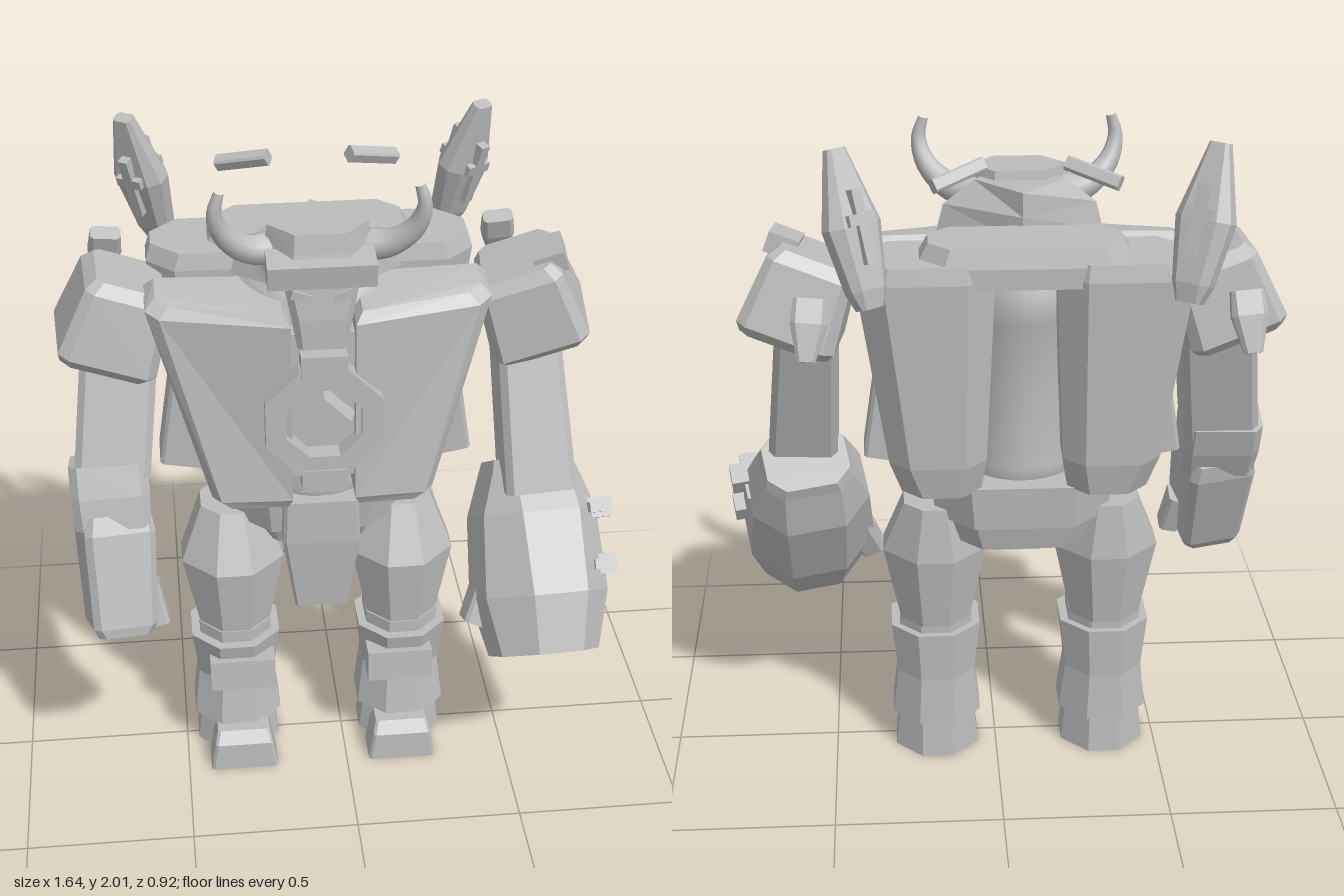
import * as THREE from 'three';

const stone = new THREE.MeshStandardMaterial({ color: 0xbcbcbc });
stone.name = 'stone grey';
const V = (x, y, z) => new THREE.Vector3(x, y, z);

// Faceted solid skinned through rings of [x, y, z] points
function loft(rings) {
  const n = rings[0].length, pos = rings.flat(), tris = [];
  rings.slice(1).forEach((_, i) => {
    for (let j = 0; j < n; j++) {
      const a = i * n + j, b = i * n + (j + 1) % n;
      tris.push([a, a + n, b + n], [a, b + n, b]);
    }
  });
  const top = (rings.length - 1) * n;
  for (let j = 1; j < n - 1; j++) tris.push([0, j, j + 1], [top, top + j + 1, top + j]);
  const pts = pos.map(p => V(...p));
  const mid = pts.reduce((s, p) => s.add(p), V(0, 0, 0)).divideScalar(pts.length);
  let vol = 0;
  for (const [a, b, c] of tris) {
    vol += pts[a].clone().sub(mid).dot(pts[b].clone().sub(mid).cross(pts[c].clone().sub(mid)));
  }
  const idx = tris.flatMap(([a, b, c]) => (vol < 0 ? [a, c, b] : [a, b, c]));
  const g = new THREE.BufferGeometry();
  g.setAttribute('position', new THREE.Float32BufferAttribute(pos.flat(), 3));
  g.setIndex(idx);
  const flat = g.toNonIndexed();
  flat.computeVertexNormals();
  return flat;
}

// Rectangle with cut corners: half width w, half depth d, cut c, centre x, z
function octagon(y, w, d, c, x = 0, z = 0) {
  return [[w, -d + c], [w, d - c], [w - c, d], [c - w, d], [-w, d - c], [-w, c - d], [c - w, -d], [w - c, -d]]
    .map(([px, pz]) => [x + px, y, z + pz]);
}

export function createModel() {
  const model = new THREE.Group();
  model.name = 'armouredGiant';
  const body = new THREE.Group();
  body.name = 'body';
  body.position.x = -0.075;
  model.add(body);

  const add = (name, geo, parent = body) => {
    const m = new THREE.Mesh(geo, stone);
    m.name = name;
    parent.add(m);
    return m;
  };
  const box = (name, x, y, z, w, h, d, parent = body) => {
    const m = add(name, new THREE.BoxGeometry(w, h, d), parent);
    m.position.set(x, y, z);
    return m;
  };
  // Limb between two points; sections are [t, half width, half depth, cut]
  const limb = (name, low, high, sections, parent = body) => {
    const axis = high.clone().sub(low), len = axis.length();
    const m = add(name, loft(sections.map(([t, w, d, c]) => octagon(t * len, w, d, c))), parent);
    m.position.copy(low);
    m.quaternion.setFromUnitVectors(V(0, 1, 0), axis.normalize());
    return m;
  };

  // Core, belt and hips
  const core = add('torsoCore', new THREE.LatheGeometry(
    [[0, 0.88], [0.17, 0.88], [0.16, 1.0], [0.15, 1.2], [0.17, 1.45], [0.23, 1.66], [0, 1.66]].map(p => new THREE.Vector2(...p)), 32));
  core.position.z = -0.02;
  add('belt', loft([octagon(0.83, 0.255, 0.17, 0.11, 0, -0.06), octagon(0.965, 0.275, 0.185, 0.12, 0, -0.055)]));
  add('hips', loft([octagon(0.75, 0.19, 0.12, 0.07, 0, -0.08), octagon(0.84, 0.23, 0.15, 0.09, 0, -0.07)]));
  add('frontGuard', loft([octagon(0.59, 0.08, 0.03, 0.008, 0, 0.13), octagon(0.83, 0.115, 0.04, 0.01, 0, 0.14),
    octagon(0.97, 0.11, 0.04, 0.01, 0, 0.14)]));
  box('breastbone', 0, 1.32, 0.12, 0.2, 0.46, 0.2);

  // Chest emblem: ring, diamond and two clasps
  const ngon = (r, n, a) => Array.from({ length: n }, (_, i) =>
    new THREE.Vector2(r * Math.cos(a + i * 2 * Math.PI / n), r * Math.sin(a + i * 2 * Math.PI / n)));
  const ringShape = new THREE.Shape(ngon(0.18, 8, Math.PI / 8));
  ringShape.holes.push(new THREE.Path(ngon(0.115, 8, Math.PI / 8)));
  add('emblemRing', new THREE.ExtrudeGeometry(ringShape, { depth: 0.09, bevelEnabled: false })).position.set(0, 1.295, 0.19);
  const gem = add('emblemDiamond', new THREE.CylinderGeometry(0.075, 0.1, 0.07, 4, 1).toNonIndexed());
  gem.geometry.computeVertexNormals();
  gem.rotation.x = Math.PI / 2;
  gem.position.set(0, 1.295, 0.235);
  for (const y of [1.11, 1.475]) box('emblemClasp', 0, y, 0.235, 0.13, 0.07, 0.1);

  // Head, helmet and face
  add('helmetBack', loft([[1.66, 0.24, -0.1], [1.74, 0.22, -0.105], [1.81, 0.13, -0.1]].map(([y, w, back]) =>
    [[-w, y, 0.04], [0, y, back], [w, y, 0.04], [w * 0.6, y, 0.12], [-w * 0.6, y, 0.12]])));
  const hex = (y, w, z0, z1) => {
    const m = (z0 + z1) / 2;
    return [[-w, y, m], [-w / 2, y, z0], [w / 2, y, z0], [w, y, m], [w / 2, y, z1], [-w / 2, y, z1]];
  };
  add('helmetTop', loft([hex(1.7, 0.16, 0.0, 0.22), hex(1.78, 0.15, 0.02, 0.2), hex(1.835, 0.14, 0.03, 0.19)]));
  add('face', loft([octagon(1.51, 0.07, 0.07, 0.015, 0, 0.17), octagon(1.6, 0.085, 0.09, 0.02, 0, 0.15), octagon(1.7, 0.105, 0.1, 0.02, 0, 0.13)]));
  box('brow', 0, 1.735, 0.19, 0.3, 0.07, 0.1).rotation.x = 0.15;

  // Upper back cap
  add('backCap', loft([octagon(1.6, 0.3, 0.11, 0.07, 0, -0.2), octagon(1.66, 0.3, 0.115, 0.07, 0, -0.195), octagon(1.715, 0.27, 0.1, 0.06, 0, -0.195)]));

  for (const s of [1, -1]) {
    const side = s > 0 ? 'left' : 'right';
    // Chest plate, tapering to the waist
    const plate = (y, o, zf, inset, tilt, turn) => [[0.09 + inset, y - tilt, zf - inset], [o * 0.92 - inset, y - tilt, zf - turn - inset],
      [o - inset, y - tilt * 0.6, zf - turn - 0.035 - inset], [o - inset, y, 0.01 + inset], [0.09 + inset, y, 0.03 + inset]]
      .map(([x, py, z]) => [x * s, py, z]);
    add(side + 'ChestPlate', loft([plate(1.0, 0.3, 0.25, 0.012, 0, 0.005), plate(1.03, 0.32, 0.255, 0, 0, 0.01),
      plate(1.62, 0.485, 0.26, 0, 0.03, 0.085), plate(1.65, 0.475, 0.255, 0.02, 0.03, 0.085)]));
    // Back slab and flank panel
    add(side + 'BackSlab', loft([octagon(0.96, 0.115, 0.095, 0.06, s * 0.24, -0.185), octagon(1.06, 0.14, 0.11, 0.06, s * 0.25, -0.19),
      octagon(1.62, 0.195, 0.13, 0.08, s * 0.28, -0.195), octagon(1.67, 0.185, 0.12, 0.08, s * 0.275, -0.195)]));
    limb(side + 'FlankPanel', V(s * 0.4, 1.02, -0.06), V(s * 0.3, 1.58, -0.06),
      [[0, 0.065, 0.076, 0.01], [1, 0.08, 0.085, 0.01]]);
    // Curved horn
    const curve = new THREE.CatmullRomCurve3([V(s * 0.12, 1.755, 0.09), V(s * 0.2, 1.77, 0.12), V(s * 0.265, 1.83, 0.15),
      V(s * 0.285, 1.9, 0.17), V(s * 0.27, 1.96, 0.17)]);
    const horn = new THREE.TubeGeometry(curve, 16, 1, 12);
    const hp = horn.attributes.position, q = new THREE.Vector3();
    for (let i = 0; i < hp.count; i++) {
      const t = Math.floor(i / 13) / 16, c = curve.getPointAt(t);
      q.fromBufferAttribute(hp, i).sub(c).multiplyScalar(0.05 - 0.036 * t).add(c);
      hp.setXYZ(i, q.x, q.y, q.z);
    }
    horn.computeVertexNormals();
    add(side + 'Horn', horn);
    box(side + 'Eye', s * 0.058, 1.672, 0.232, 0.06, 0.025, 0.02).rotation.z = s * 0.35;

    // Floating rod, spike and spike tail
    limb(side + 'FloatingRod', V(s * 0.255, 1.875, -0.235), V(s * 0.115, 1.915, -0.165), [[0, 0.02, 0.02, 0.006], [1, 0.02, 0.02, 0.006]]);
    const spike = limb(side + 'BackSpike', V(s * 0.43, 1.59, -0.4), V(s * 0.515, 2.0, -0.29),
      [[0, 0.035, 0.025, 0.008], [0.12, 0.055, 0.04, 0.02], [0.52, 0.082, 0.05, 0.03], [1, 0.028, 0.02, 0.008]]);
    spike.rotateY(s * 0.6);
    for (const f of [1, -1]) {
      box('spikeRib', 0, 0.22, f * 0.05, 0.03, 0.2, 0.03, spike);
      box('spikeCross', 0, 0.24, f * 0.05, 0.08, 0.03, 0.03, spike);
    }
    limb(side + 'SpikeTail', V(s * 0.605, 1.455, -0.44), V(s * 0.59, 1.61, -0.37), [[0, 0.025, 0.015, 0.008], [0.6, 0.05, 0.03, 0.015], [1, 0.045, 0.025, 0.01]]);

    // Leg
    const leg = new THREE.Group();
    leg.name = side + 'Leg';
    leg.position.x = s * 0.26;
    body.add(leg);
    add('foot', loft([octagon(0, 0.128, 0.13, 0.08, 0, -0.02), octagon(0.12, 0.115, 0.12, 0.07, 0, -0.02)]), leg);
    add('toe', loft([octagon(0, 0.105, 0.06, 0.008, -s * 0.01, 0.14), octagon(0.09, 0.09, 0.06, 0.008, -s * 0.01, 0.135),
      octagon(0.125, 0.08, 0.035, 0.008, -s * 0.01, 0.13)]), leg);
    add('shin', loft([octagon(0.12, 0.135, 0.14, 0.08, 0, -0.01), octagon(0.27, 0.118, 0.122, 0.07, 0, -0.02),
      octagon(0.43, 0.135, 0.145, 0.08, 0, -0.005)]), leg);
    box('shinPlate', -s * 0.015, 0.33, 0.115, 0.2, 0.1, 0.08, leg).rotation.x = -0.08;
    add('knee', loft([octagon(0.42, 0.11, 0.12, 0.065, 0, -0.01), octagon(0.47, 0.11, 0.12, 0.065, 0, -0.01)]), leg);
    add('thigh', loft([octagon(0.455, 0.105, 0.12, 0.065, 0, -0.015), octagon(0.69, 0.155, 0.15, 0.1, 0, -0.02),
      octagon(0.86, 0.09, 0.1, 0.055, 0, -0.055)]), leg);
  }

  // Shoulder pads
  for (const [name, x, s] of [['leftShoulder', 0.55, 1], ['rightShoulder', -0.645, -1]]) {
    const pad = add(name, loft([octagon(-0.13, 0.13, 0.14, 0.03), octagon(-0.1, 0.145, 0.165, 0.03),
      octagon(0.1, 0.125, 0.135, 0.025), octagon(0.135, 0.1, 0.11, 0.02)]), model);
    pad.position.set(x, 1.505, -0.045);
    pad.rotation.set(s > 0 ? 0.1 : 0, s > 0 ? -0.1 : 0.06, s * 0.36);
    if (s > 0) box('shoulderStud', 0.1, 0.12, 0.02, 0.09, 0.06, 0.12, pad);
  }

  // Left arm with the great gauntlet
  limb('leftUpperArm', V(0.575, 0.95, 0.12), V(0.54, 1.45, -0.06),
    [[0, 0.105, 0.105, 0.02], [1, 0.09, 0.1, 0.02]], model);
  const fist = limb('gauntlet', V(0.58, 0.49, 0.335), V(0.565, 0.97, 0.0),
    [[0, 0.155, 0.145, 0.085], [0.3, 0.195, 0.185, 0.11], [0.72, 0.18, 0.165, 0.09], [0.94, 0.135, 0.115, 0.05], [1, 0.125, 0.105, 0.05]], model);
  fist.rotateY(0.2);
  for (const y of [0.25, 0.42]) {
    box('gauntletStud', 0.182, y, 0.067, 0.08, 0.06, 0.07, fist);
    box('gauntletStrap', 0.16, y, 0.06, 0.05, 0.03, 0.16, fist);
  }
  limb('leftThumb', V(0.375, 0.55, 0.24), V(0.45, 0.7, 0.18), [[0, 0.035, 0.045, 0.01], [1, 0.05, 0.055, 0.01]], model);

  // Right arm
  limb('rightUpperArm', V(-0.68, 1.05, 0.06), V(-0.635, 1.45, -0.06),
    [[0, 0.11, 0.1, 0.02], [1, 0.11, 0.1, 0.02]], model);
  limb('rightCuff', V(-0.685, 0.9, 0.115), V(-0.69, 1.08, 0.05),
    [[0, 0.11, 0.1, 0.025], [0.5, 0.115, 0.11, 0.025], [1, 0.115, 0.105, 0.025]], model);
  const forearm = limb('rightForearm', V(-0.68, 0.59, 0.225), V(-0.685, 0.94, 0.1),
    [[0, 0.08, 0.085, 0.02], [0.08, 0.095, 0.095, 0.02], [0.85, 0.105, 0.11, 0.02], [1, 0.095, 0.1, 0.02]], model);
  forearm.rotateY(0.2);
  limb('rightThumb', V(-0.565, 0.61, 0.22), V(-0.59, 0.73, 0.19), [[0, 0.03, 0.04, 0.01], [1, 0.03, 0.045, 0.01]], model);
  return model;
}
